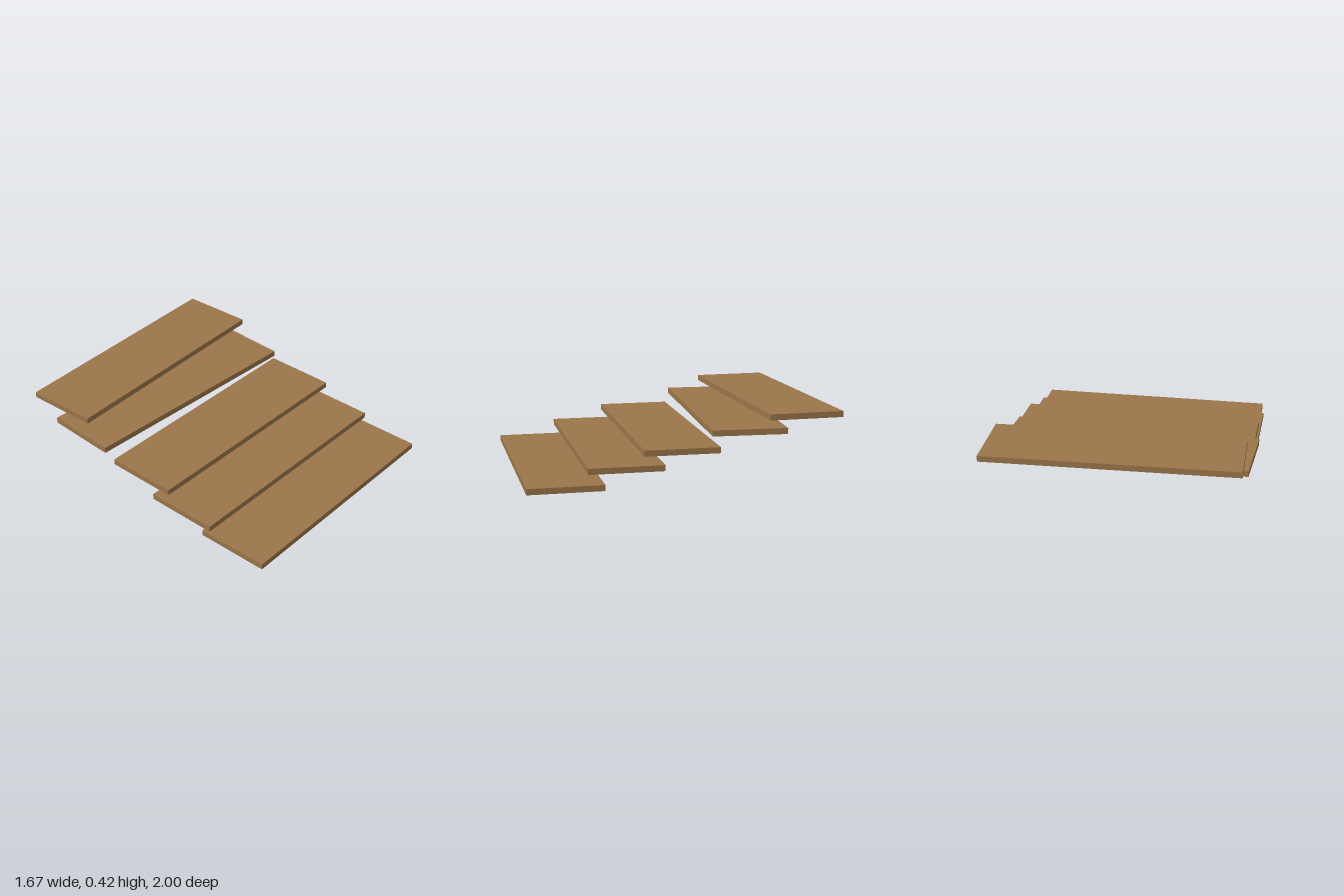
import * as THREE from 'three';

export function createModel() {
  const model = new THREE.Group();
  model.name = 'floatingSteps';

  const wood = new THREE.MeshStandardMaterial({ color: 0x9b764a });
  wood.name = 'wood';

  // One plank shared by every step
  const height = 0.038;
  const rise = 0.0965;
  const plank = new THREE.BoxGeometry(1.6, height, 0.477);

  // Each step from the lowest up: x, z and a slight turn
  const steps = [
    [0.033, 0.753, 0.008],
    [0, 0.37, 0],
    [0.004, 0.024, -0.001],
    [-0.027, -0.449, -0.048],
    [0.011, -0.732, 0.037],
  ];
  steps.forEach(([x, z, turn], i) => {
    const step = new THREE.Mesh(plank, wood);
    step.name = `step${i + 1}`;
    step.position.set(x, height / 2 + i * rise, z);
    step.rotation.y = turn;
    model.add(step);
  });

  return model;
}
